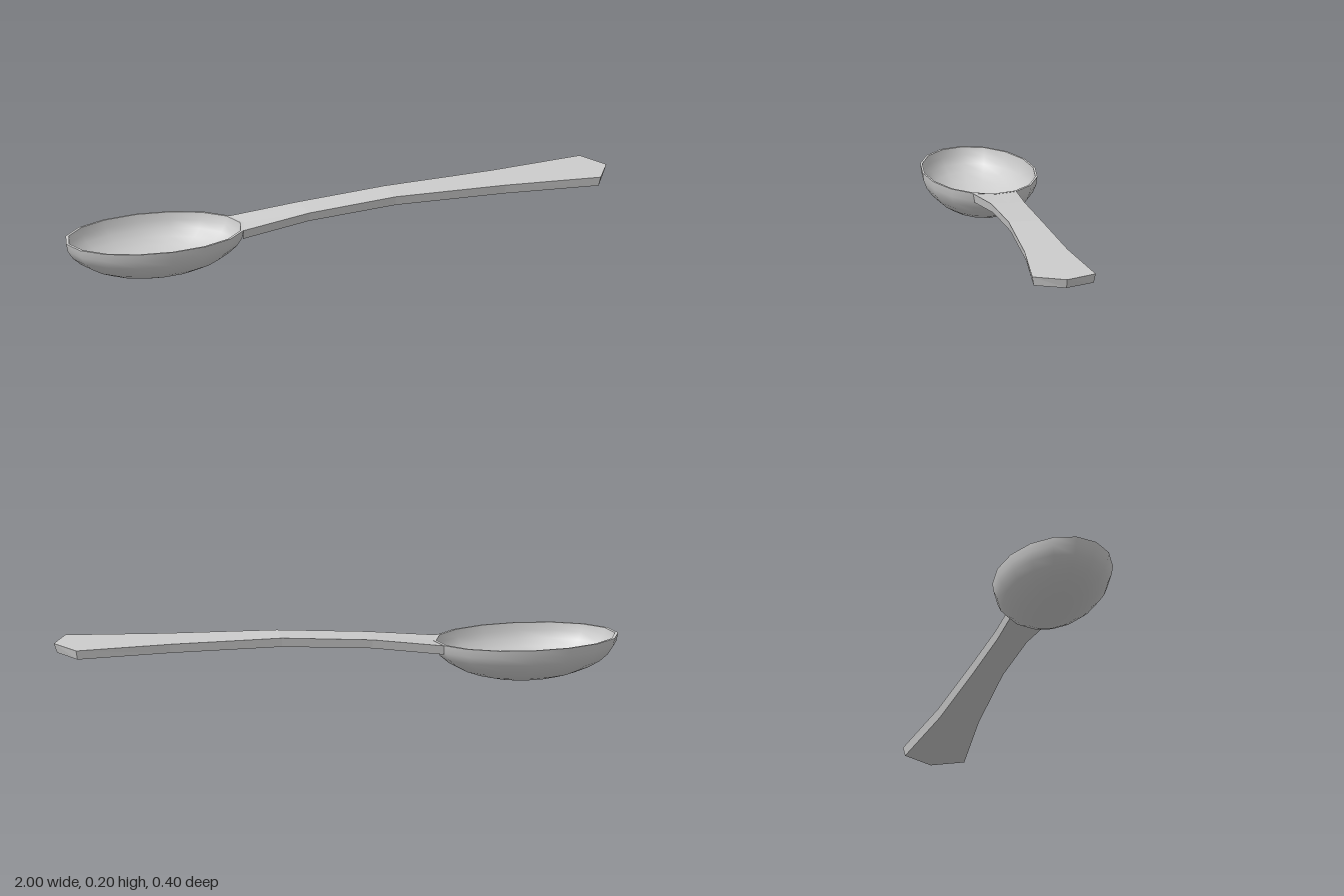
import * as THREE from 'three';
import { toCreasedNormals } from 'three/addons/utils/BufferGeometryUtils.js';

const material = new THREE.MeshStandardMaterial({ color: 0xcccccc });

// Oval bowl: a thin lathed half-shell, stretched along x
function makeBowl() {
  const depth = 0.15, steps = 8, profile = [];
  for (let i = 0; i <= steps; i++) {
    const a = (i / steps) * Math.PI / 2;
    profile.push(new THREE.Vector2(Math.sin(a), depth * (1 - Math.cos(a))));
  }
  for (let i = steps; i >= 0; i--) {
    const a = (i / steps) * Math.PI / 2;
    profile.push(new THREE.Vector2(0.965 * Math.sin(a), depth - 0.14 * Math.cos(a)));
  }
  const geometry = new THREE.LatheGeometry(profile, 16);
  geometry.scale(0.328, 1, 0.2);
  geometry.translate(-0.672, 0, 0);
  const bowl = new THREE.Mesh(toCreasedNormals(geometry, 0.9), material);
  bowl.name = 'bowl';
  return bowl;
}

// Handle: six-point sections lofted along x, slightly narrower underneath
function makeHandle() {
  // edge x, middle x, half width, top y, bottom y
  const stations = [
    [-0.37, -0.347, 0.077, 0.149, 0.116],
    [-0.12, -0.12, 0.059, 0.177, 0.145],
    [0.2, 0.2, 0.058, 0.197, 0.164],
    [0.6, 0.6, 0.077, 0.197, 0.164],
    [0.94, 1.0, 0.113, 0.197, 0.164],
  ];
  const positions = [], index = [];
  const last = stations.length - 1;
  stations.forEach(([edge, mid, half, top, bottom], i) => {
    const inset = i === last ? 0.012 : 0;
    positions.push(
      edge, top, half, mid, top, 0, edge, top, -half,
      edge - inset / 2, bottom, -half + 0.006,
      mid - inset, bottom, 0,
      edge - inset / 2, bottom, half - 0.006);
  });
  for (let i = 0; i < last; i++) {
    for (let j = 0; j < 6; j++) {
      const a = i * 6 + j, b = i * 6 + (j + 1) % 6;
      index.push(a, a + 6, b, b, a + 6, b + 6);
    }
  }
  // End faces: one hugs the bowl, the other forms the pointed tip
  const e = last * 6;
  index.push(0, 1, 4, 0, 4, 5, 1, 2, 3, 1, 3, 4);
  index.push(e, e + 4, e + 1, e, e + 5, e + 4, e + 1, e + 3, e + 2, e + 1, e + 4, e + 3);

  const indexed = new THREE.BufferGeometry();
  indexed.setAttribute('position', new THREE.Float32BufferAttribute(positions, 3));
  indexed.setIndex(index);
  const geometry = indexed.toNonIndexed();
  geometry.computeVertexNormals();
  const handle = new THREE.Mesh(geometry, material);
  handle.name = 'handle';
  return handle;
}

export function createModel() {
  const spoon = new THREE.Group();
  spoon.name = 'spoon';
  spoon.add(makeBowl(), makeHandle());
  return spoon;
}
